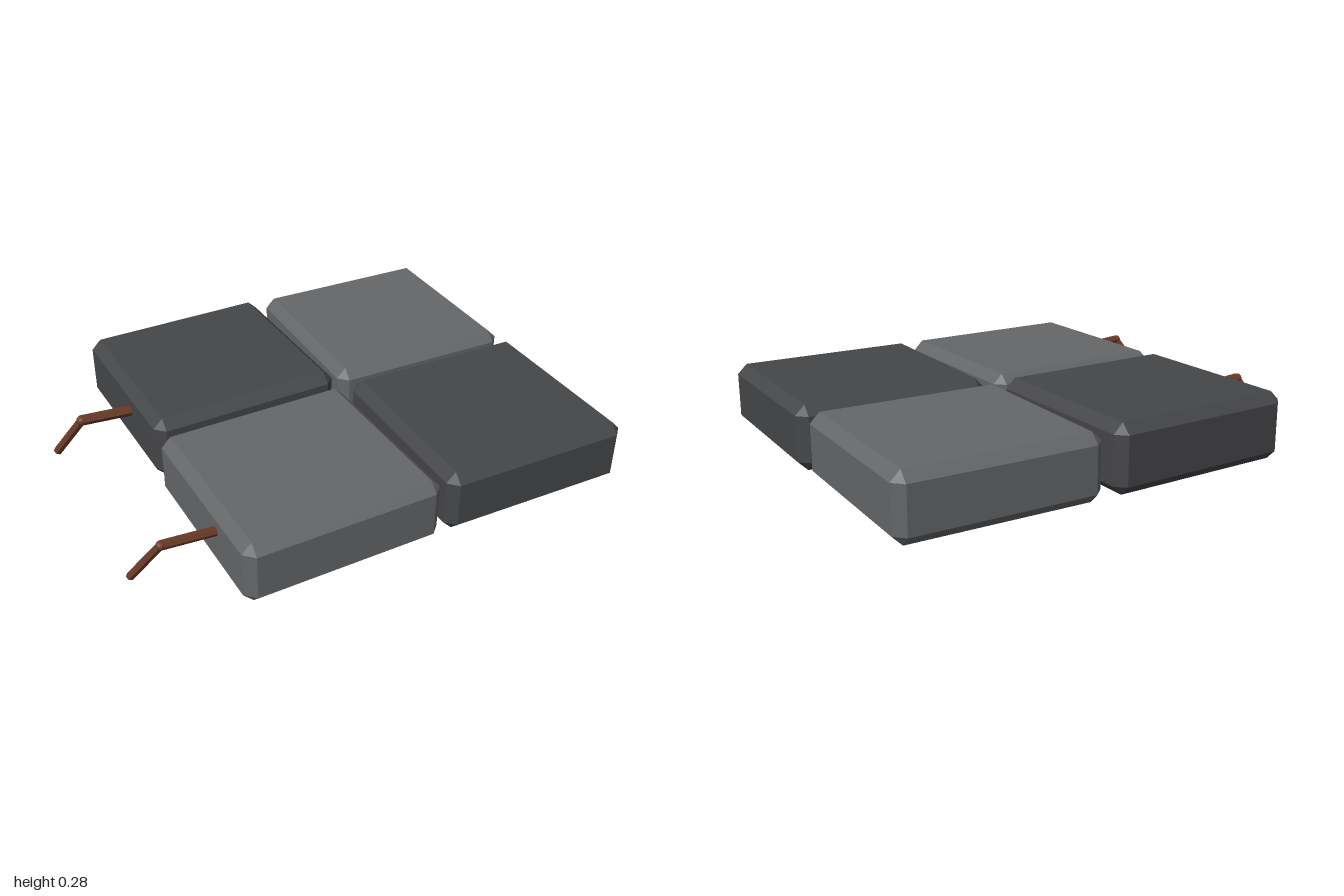
import * as THREE from 'three';
import { ConvexGeometry } from 'three/addons/geometries/ConvexGeometry.js';

const lightSlate = new THREE.MeshStandardMaterial({ color: 0x646668, flatShading: true });
const darkSlate = new THREE.MeshStandardMaterial({ color: 0x454648, flatShading: true });
const copper = new THREE.MeshStandardMaterial({ color: 0x6b3a26, flatShading: true });

// Box with every edge and corner cut off by a chamfer
function chamferedBox(w, h, d, c) {
  const points = [];
  for (const sx of [-1, 1]) for (const sy of [-1, 1]) for (const sz of [-1, 1]) {
    const x = w / 2, y = h / 2, z = d / 2;
    points.push(
      new THREE.Vector3(sx * x, sy * (y - c), sz * (z - c)),
      new THREE.Vector3(sx * (x - c), sy * y, sz * (z - c)),
      new THREE.Vector3(sx * (x - c), sy * (y - c), sz * z)
    );
  }
  return new ConvexGeometry(points);
}

// Straight six-sided bar between two points
function rod(name, a, b, r) {
  const mesh = new THREE.Mesh(new THREE.CylinderGeometry(r, r, a.distanceTo(b), 6), copper);
  mesh.name = name;
  mesh.position.copy(a).add(b).multiplyScalar(0.5);
  mesh.quaternion.setFromUnitVectors(new THREE.Vector3(0, 1, 0), b.clone().sub(a).normalize());
  return mesh;
}

export function createModel() {
  const model = new THREE.Group();
  model.name = 'blockSet';

  // Four blocks, each turned slightly
  const base = 0.008;
  const blocks = [
    ['backRightBlock', -0.27, -0.421, 0.277, 0.02, darkSlate],
    ['backLeftBlock', 0.585, -0.421, 0.265, -0.018, lightSlate],
    ['frontRightBlock', -0.27, 0.417, 0.265, 0.014, lightSlate],
    ['frontLeftBlock', 0.585, 0.417, 0.265, -0.016, darkSlate]
  ];
  for (const [name, x, z, h, turn, material] of blocks) {
    const block = new THREE.Mesh(chamferedBox(0.815, h, 0.797, 0.04), material);
    block.name = name;
    block.position.set(x, base + h / 2, z);
    block.rotation.y = turn;
    model.add(block);
  }

  // Two bent leads on the right side, reaching down to the ground
  for (const [name, z, r] of [['backLead', -0.32, 0.022], ['frontLead', 0.565, 0.019]]) {
    const lead = new THREE.Group();
    lead.name = name;
    const root = new THREE.Vector3(-0.64, 0.18, z);
    const elbow = new THREE.Vector3(-0.885, 0.198, z);
    const tip = new THREE.Vector3(-0.98, 0.012, z - 0.1);
    const joint = new THREE.Mesh(new THREE.IcosahedronGeometry(r, 1), copper);
    joint.name = 'elbowJoint';
    joint.position.copy(elbow);
    lead.add(rod('upperRod', root, elbow, r), joint, rod('lowerRod', elbow, tip, r * 0.85));
    model.add(lead);
  }
  return model;
}
